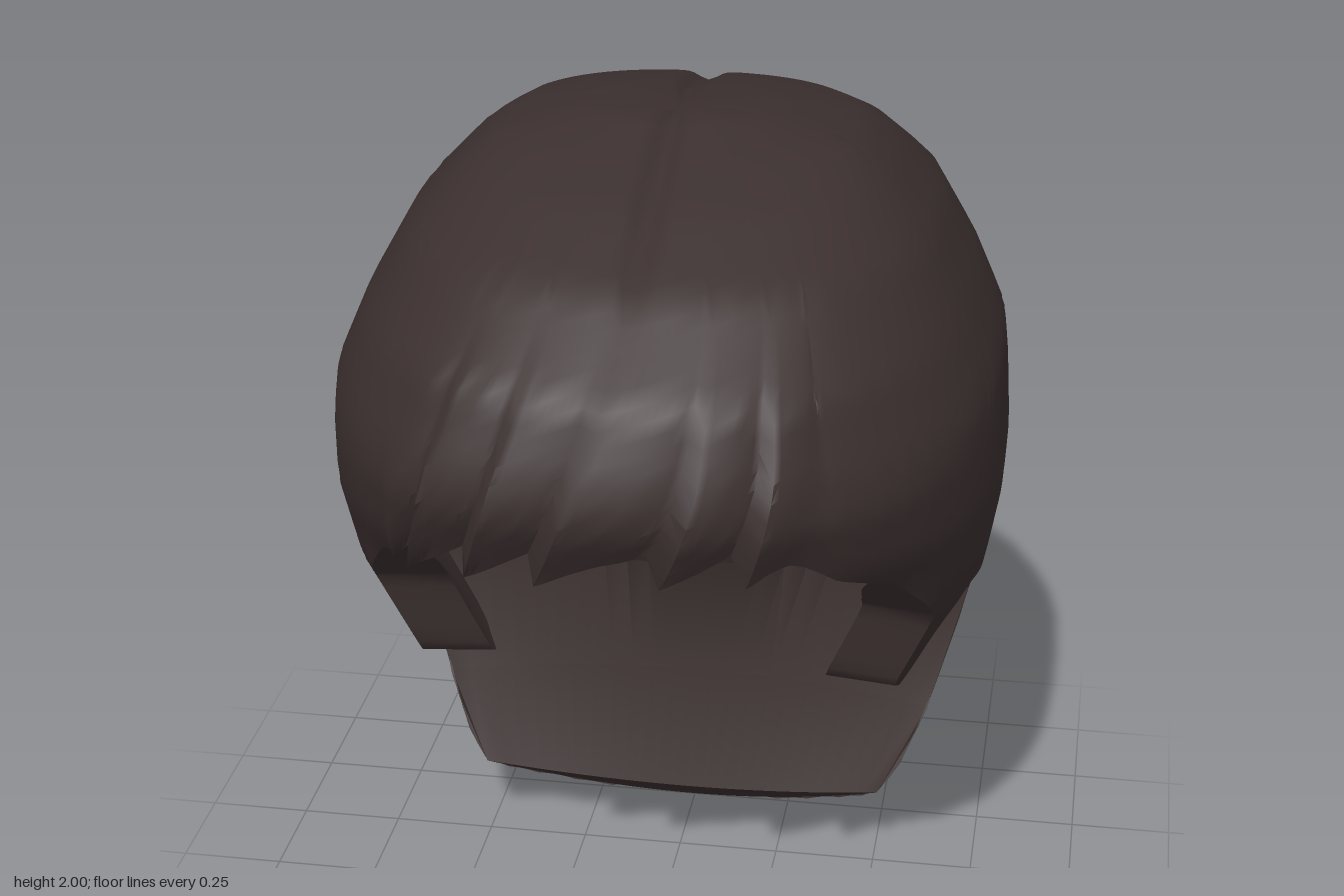
import * as THREE from 'three';
import { toCreasedNormals } from 'three/addons/utils/BufferGeometryUtils.js';

const DEG = Math.PI / 180;
const { clamp, lerp, smoothstep } = THREE.MathUtils;

// Head profile by height: [y, half width, front depth, back depth]
const PROFILE = [
  [2.0, 0, 0, 0], [1.995, 0.2, 0.12, 0.15], [1.94, 0.42, 0.28, 0.43], [1.88, 0.5, 0.44, 0.58],
  [1.77, 0.605, 0.67, 0.75], [1.6, 0.7, 0.88, 0.845], [1.45, 0.765, 0.94, 0.9], [1.36, 0.775, 0.96, 0.915],
  [1.2, 0.785, 0.89, 0.925], [1.1, 0.78, 0.8, 0.92], [0.95, 0.755, 0.73, 0.91], [0.65, 0.69, 0.69, 0.87],
  [0.4, 0.62, 0.6, 0.71], [0.26, 0.555, 0.5, 0.6], [0.14, 0.455, 0.4, 0.445], [0, 0.29, 0.3, 0.25],
];

// Lower edge of one side, front to back: [angle at crown, angle at edge, edge y]
const EDGE = [
  [0, 0, 1.24], [24, 24, 1.23], [43, 43, 1.12], [58, 60, 0.93], [63, 63, 0.72], [69, 70, 0.68],
  [75, 76, 0.72], [80, 81, 0.9], [90, 88.5, 0.93], [98, 95.7, 0.73], [106, 95.6, 0.4],
  [114, 90, 0.2], [122, 94.6, 0.15], [131, 104, 0.1], [143, 121, 0.05], [156, 139.5, 0.02], [180, 180, 0],
];

// Underside, fringe to nape: [angle at side, y at side, z shift and y shift on the centre line]
const UNDERSIDE = [
  [25, 1.36, 0.05, 0], [25, 1.24, 0.05, 0], [43, 1.14, 0.06, 0.1], [60, 1.03, 0, 0.16], [78, 1.0, -0.05, 0.1],
  [88.5, 0.93, -0.08, 0.03], [95.7, 0.73, -0.1, 0], [95.6, 0.4, -0.1, 0], [90, 0.2, -0.12, -0.1], [90, 0.2, -0.25, -0.2],
];

// Linear lookup in a table sorted by its first column
function lookup(table, key) {
  const dir = Math.sign(table[1][0] - table[0][0]);
  let i = 0;
  while (i < table.length - 2 && (key - table[i + 1][0]) * dir > 0) i++;
  const a = table[i], b = table[i + 1];
  const k = clamp((key - a[0]) / (b[0] - a[0]), 0, 1);
  return a.map((v, n) => lerp(v, b[n], k));
}

// Point on the rounded-square head section at angle s (0 = front) and height y
function headPoint(s, y, offset = 0, scale = 1) {
  const [, w, front, back] = lookup(PROFILE, y);
  const sn = Math.sin(s * DEG), cs = Math.cos(s * DEG);
  const depth = cs > 0 ? front : back;
  const px = Math.sign(sn) * Math.abs(sn) ** 0.8;
  const pz = Math.sign(cs) * Math.abs(cs) ** 0.8;
  return [px * (w * scale + offset), y, pz * (depth * scale + offset)];
}

// Surface from a rule giving a point for each row and column
function gridSurface(rows, cols, pointAt) {
  const pos = [], index = [];
  for (let i = 0; i <= rows; i++)
    for (let j = 0; j <= cols; j++) pos.push(...pointAt(i, j / cols));
  for (let i = 0; i < rows; i++)
    for (let j = 0; j < cols; j++) {
      const a = i * (cols + 1) + j, b = a + cols + 1;
      index.push(a, b, a + 1, b, b + 1, a + 1);
    }
  const geo = new THREE.BufferGeometry();
  geo.setAttribute('position', new THREE.Float32BufferAttribute(pos, 3));
  geo.setIndex(index);
  return toCreasedNormals(geo, 0.8);
}

// Main shell: outer surface down to the hem, then folded a short way back up inside
function hairShell() {
  const ROWS = 30, FOLD = 13;
  return gridSurface(ROWS + 1 + FOLD, 288, (i, v) => {
    const inside = i > ROWS;
    const t = (inside ? 2 * ROWS + 1 - i : i) / ROWS;
    const u = v * 360 - 180, side = Math.sign(u) || 1, au = Math.abs(u);
    const [, edgeAngle, edgeY] = lookup(EDGE, au);
    const k = t ** 4;
    let s = side * lerp(au, edgeAngle, k);
    let hem = edgeY, offset = 0;

    // Fringe: overlapping locks swept to one side
    if (u > -40 && u < 32) {
      const p = ((u + 40) / 12) % 1;
      const fade = smoothstep(u, -40, -32) * (1 - smoothstep(u, 27, 32));
      hem += fade * (0.09 * (p - 0.5) + 0.0016 * u);
      offset += fade * 0.042 * (0.8 - p) * smoothstep(t, 0.5, 1);
      s -= fade * 9 * (k - 0.5) * smoothstep(t, 0.2, 0.6);
    }
    // Soft strands down the nape
    offset += 0.014 * Math.sin(au * 18 * DEG) * smoothstep(au, 112, 130)
      * smoothstep(t, 0.6, 0.8) * (1 - smoothstep(t, 0.88, 1));

    const y = 2 - (2 - hem) * t ** 1.7;
    const thickness = inside ? 0.07 * (1 - smoothstep(au, 82, 90)) : 0;
    const q = headPoint(s, y, offset, 1 - thickness);

    // Sideburns curl inward and are thicker than the rest
    const burn = smoothstep(Math.abs(s), 38, 52) * (1 - smoothstep(Math.abs(s), 77, 86));
    q[0] -= side * burn * 0.3 * Math.max(0, 0.98 - y);
    if (inside) q[0] -= side * burn * 0.12 * (1 - smoothstep(y, 0.95, 1.2));

    // Centre parting
    q[1] -= 0.022 * Math.exp(-((q[0] / 0.03) ** 2)) * smoothstep(y, 1.7, 1.9);
    return q;
  });
}

// Upper layer at the back, ending in six pointed locks
function backLayer() {
  const ROWS = 18, LOCKS = 6, SPAN = 60;
  return gridSurface(ROWS + 1, LOCKS * 14, (i, v) => {
    const t = Math.min(i, ROWS) / ROWS;
    const s = 180 - SPAN + v * 2 * SPAN;
    const c = Math.abs(((v * LOCKS) % 1) * 2 - 1);          // 0 at lock centre, 1 between locks
    const edge = Math.abs(v * 2 - 1);                       // 0 at the back, 1 at the sides
    const tip = 0.85 + 0.14 * c ** 1.3;
    const y = lerp(1.75, tip, t);
    const lift = lerp(0.085, 0.015, edge ** 1.3) - 0.05 * c * c * t;
    const offset = i > ROWS ? -0.03 : lerp(-0.015, lift, smoothstep(t, 0, 0.9));
    return headPoint(s, y, offset);
  });
}

// Shallow inner face spanning from side to side between fringe and nape
function underside() {
  return gridSurface(UNDERSIDE.length - 1, 24, (i, v) => {
    const [angle, y, dz, dy] = UNDERSIDE[i];
    const [x, , z] = headPoint(angle, y, 0, y > 0.93 ? 0.95 : 1);
    const a = v * 2 - 1, middle = 1 - a * a;
    return [x * a, y + dy * middle, z + dz * middle];
  });
}

export function createModel() {
  const darkBrown = new THREE.MeshStandardMaterial({ color: 0x3b2f2f });
  darkBrown.name = 'darkBrown';
  darkBrown.side = THREE.DoubleSide;

  const hair = new THREE.Group();
  hair.name = 'hair';
  const parts = { hairShell: hairShell(), backLayer: backLayer(), underside: underside() };
  for (const [name, geometry] of Object.entries(parts)) {
    const mesh = new THREE.Mesh(geometry, darkBrown);
    mesh.name = name;
    hair.add(mesh);
  }
  return hair;
}
